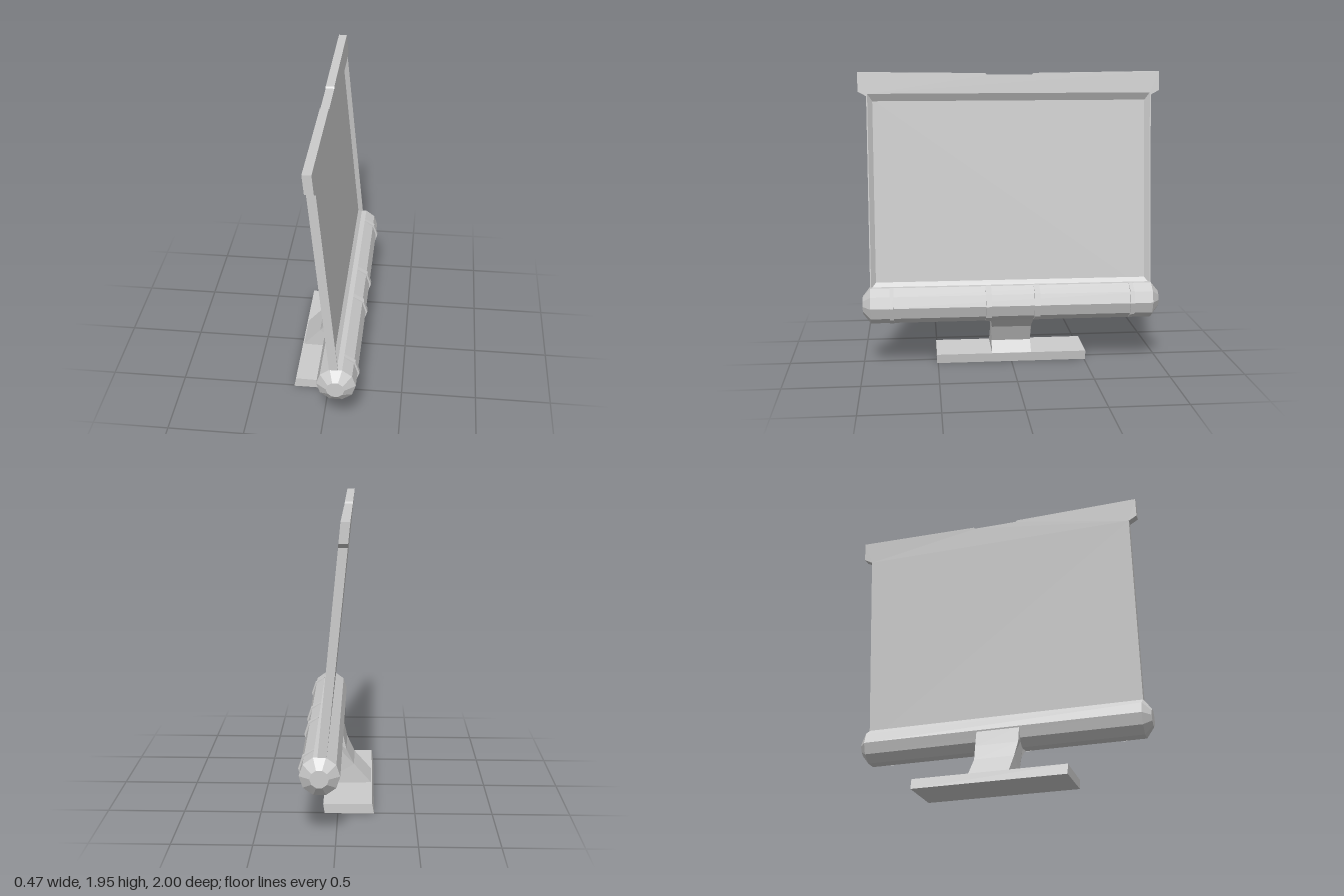
import * as THREE from 'three';

const grey = new THREE.MeshStandardMaterial({ color: 0xcccccc, flatShading: true });
const toVectors = (points) => points.map(([x, y]) => new THREE.Vector2(x, y));

// Extrudes a polygon, with its depth centred on z.
function extrude(points, depth, hole) {
  const shape = new THREE.Shape(toVectors(points));
  if (hole) shape.holes.push(new THREE.Path(toVectors(hole)));
  return new THREE.ExtrudeGeometry(shape, { depth, bevelEnabled: false }).translate(0, 0, -depth / 2);
}

// Moves every vertex by a rule.
function moveVertices(geometry, rule) {
  const position = geometry.attributes.position;
  const v = new THREE.Vector3();
  for (let i = 0; i < position.count; i++) {
    v.fromBufferAttribute(position, i);
    rule(v);
    position.setXYZ(i, v.x, v.y, v.z);
  }
  geometry.computeVertexNormals();
  return geometry;
}

export function createModel() {
  const model = new THREE.Group();
  const add = (name, geometry, parent = model) => {
    const mesh = new THREE.Mesh(geometry, grey);
    mesh.name = name;
    parent.add(mesh);
    return mesh;
  };

  // Foot and bent neck
  add('base', extrude([[-0.235, 0], [0.085, 0], [0.095, 0.062], [-0.223, 0.068]], 1.015));
  const neck = extrude([
    [-0.223, 0.06], [0.094, 0.06], [0.015, 0.13], [0.065, 0.24], [0.13, 0.31],
    [0.1, 0.42], [-0.024, 0.42], [-0.048, 0.31], [-0.1, 0.2],
  ], 0.266);
  add('neck', moveVertices(neck, (v) => { if (v.y > 0.3) v.z *= 1.09; }));

  // Ten-sided bar with tapered ends
  const bar = new THREE.Group();
  bar.name = 'bar';
  bar.position.set(0.097, 0.425, 0);
  model.add(bar);
  const R = 0.125;
  const profile = toVectors([[0, -0.995], [0.058, -0.995], [R, -0.943], [R, 0.943], [0.058, 0.995], [0, 0.995]]);
  add('barBody', new THREE.LatheGeometry(profile, 10, Math.PI / 2).rotateX(Math.PI / 2), bar);

  // Thin bands around the outer side of the bar
  const arc = [];
  for (let k = -2; k <= 2; k++) {
    const a = (k * Math.PI) / 5;
    const r = Math.abs(k) === 2 ? R + 0.003 : R + 0.012;
    arc.push([r * Math.cos(a), r * Math.sin(a)]);
  }
  for (const [z, width] of [[0.803, 0.028], [0.162, 0.038]]) {
    for (const side of [-1, 1]) add('barBand', extrude(arc, width).translate(0, 0, side * z), bar);
  }

  // Leaning panel: a flat back plate and a front frame around a recess
  const half = [[0.945, 0.46], [0.945, 1.8], [1, 1.83], [1, 1.954], [0.16, 1.944], [0.15, 1.934]];
  const outline = [...half, ...half.map(([x, y]) => [-x, y]).reverse()];
  const hole = [[-0.938, 0.535], [-0.938, 1.815], [0.938, 1.815], [0.938, 0.535]];
  const isRim = (v) => hole.some(([x, y]) => Math.abs(v.x - x) < 1e-4 && Math.abs(v.y - y) < 1e-4);

  const frame = moveVertices(extrude(outline, 0.03, hole), (v) => {
    // The recess narrows towards its floor
    if (v.z < 0 && isRim(v)) {
      v.x -= Math.sign(v.x) * 0.031;
      v.y += v.y > 1 ? -0.05 : 0.035;
    }
  }).translate(0, 0, 0.0125);
  const backPlate = extrude(outline, 0.025).translate(0, 0, -0.015);

  const panel = new THREE.Group();
  panel.name = 'panel';
  model.add(panel);
  const lean = (geometry) => moveVertices(geometry.rotateY(Math.PI / 2), (v) => {
    v.x += -0.057 + (1.95 - v.y) * 0.0985;
  });
  add('panelFrame', lean(frame), panel);
  add('panelBack', lean(backPlate), panel);

  return model;
}
